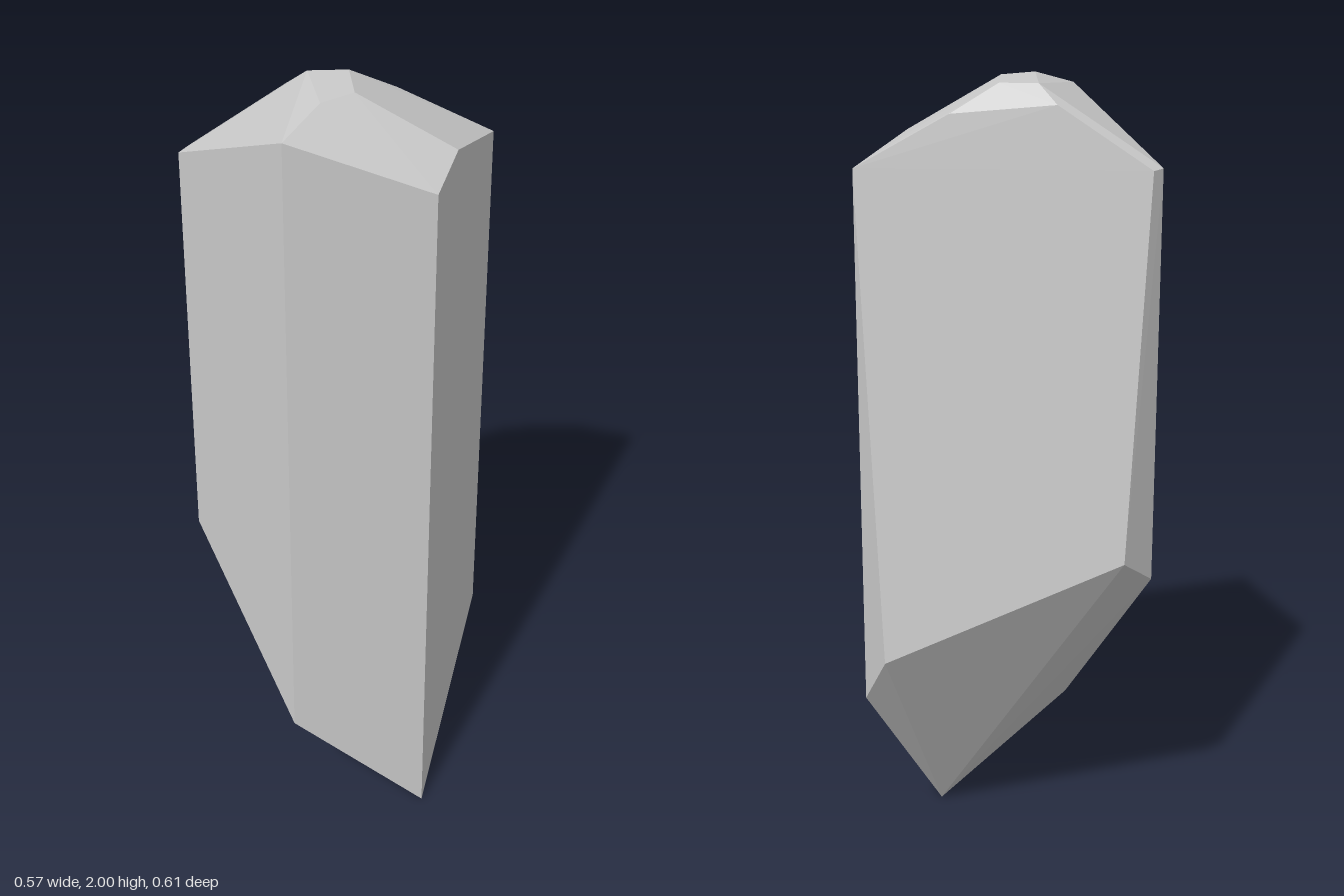
import * as THREE from 'three';
import { ConvexGeometry } from 'three/addons/geometries/ConvexGeometry.js';

export function createModel() {
  const group = new THREE.Group();
  group.name = 'crystal';

  // Slanted lower tip, going round the shaft
  const base = [
    [0.283, 0, -0.005], [0.112, 0.325, 0.285], [-0.238, 0.78, 0.305],
    [-0.284, 0.86, 0.19], [0.028, 0.59, -0.307], [0.135, 0.45, -0.307],
  ];
  // Shoulder where the shaft meets the cut crown
  const shoulder = [
    [0.283, 1.81, -0.005], [0.112, 1.96, 0.285], [-0.238, 1.81, 0.305],
    [-0.252, 1.81, 0.268], [0.135, 1.81, -0.307], [0.233, 1.865, -0.107],
  ];
  // Crown facets and flat top
  const crown = [
    [0.02, 1.935, -0.115], [-0.118, 1.957, 0.09], [-0.065, 2, 0.073],
    [-0.01, 2, 0], [0.087, 2, 0.065], [0.08, 2, 0.155],
  ];

  const points = [...base, ...shoulder, ...crown].map((p) => new THREE.Vector3(...p));
  const shard = new THREE.Mesh(
    new ConvexGeometry(points),
    new THREE.MeshStandardMaterial({ color: 0xcccccc, flatShading: true })
  );
  shard.name = 'crystalShard';
  group.add(shard);
  return group;
}
